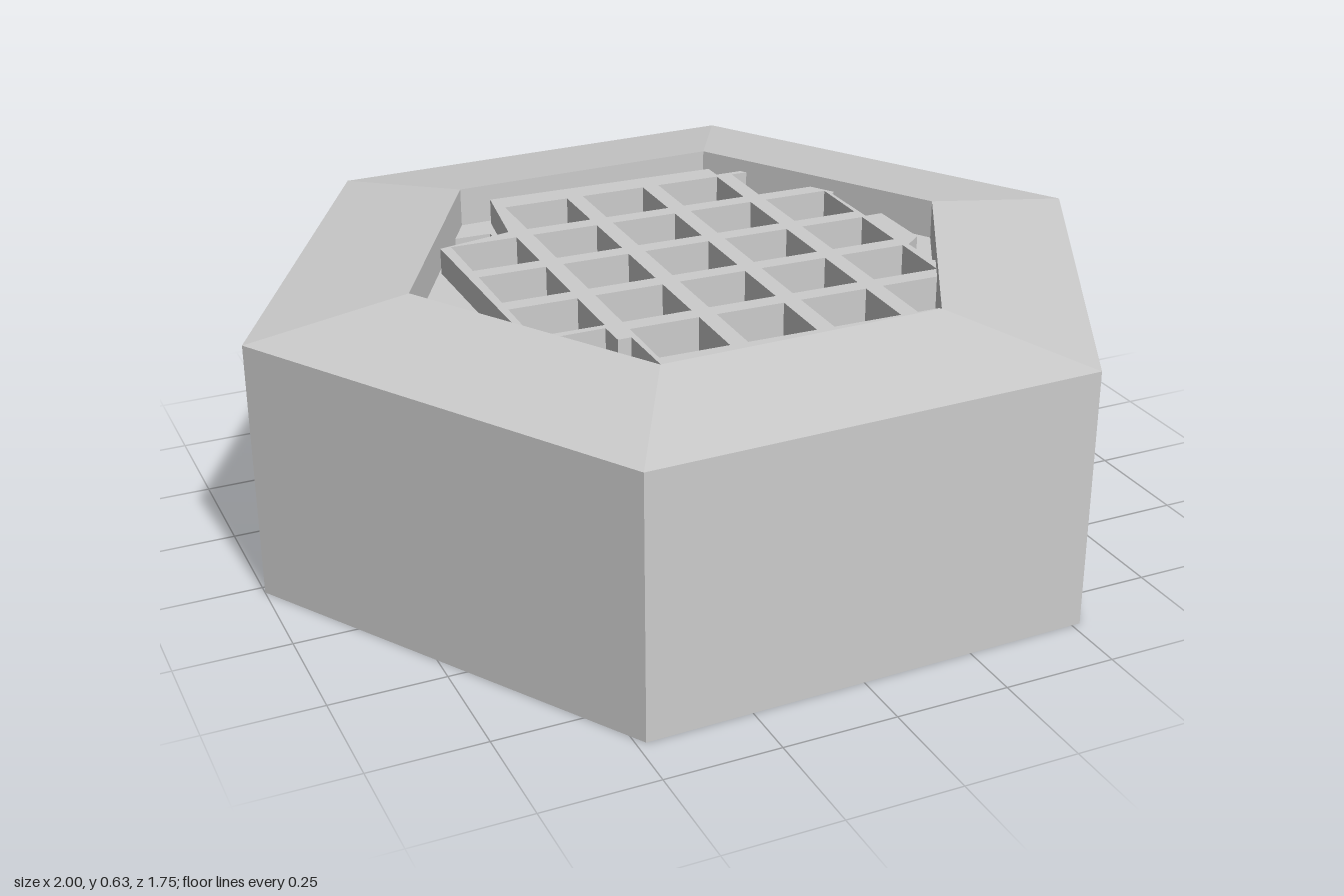
import * as THREE from 'three';

const TURN = THREE.MathUtils.degToRad(-1.3); // slight twist of the hexagon
const FLOOR = 0.47, LOW = 0.54, HIGH = 0.6;
const material = new THREE.MeshStandardMaterial({ color: 0xcccccc, flatShading: true });

// Corners of the twisted hexagon as [x, z]
function hexagon(radius) {
  return Array.from({ length: 6 }, (_, i) => {
    const a = TURN + (i * Math.PI) / 3;
    return [radius * Math.cos(a), radius * Math.sin(a)];
  });
}

// Cut a polygon down to the part inside the hexagon
function clipToHexagon(polygon, radius) {
  const apothem = radius * Math.cos(Math.PI / 6);
  let points = polygon;
  for (let i = 0; i < 6; i++) {
    const a = TURN + ((i + 0.5) * Math.PI) / 3;
    const gap = ([x, z]) => apothem - x * Math.cos(a) - z * Math.sin(a);
    const kept = [];
    points.forEach((p, k) => {
      const q = points[(k + 1) % points.length];
      const gp = gap(p), gq = gap(q);
      if (gp >= 0) kept.push(p);
      if (gp * gq < 0) {
        const t = gp / (gp - gq);
        kept.push([p[0] + t * (q[0] - p[0]), p[1] + t * (q[1] - p[1])]);
      }
    });
    points = kept;
  }
  return points;
}

// One square opening of the waffle grid
function gridWindow(col, row) {
  const x = -0.455 + 0.195 * col, z = -0.46 + 0.195 * row, s = 0.155, skew = 0.02;
  return [[x, z], [x + s, z], [x + s, z + s], [x, z + s]]
    .map(([u, v]) => [u - skew * v, v + skew * u]);
}

// Horizontal slab with openings, between two heights
function slab(name, outline, openings, bottom, top) {
  const toVectors = (pts) => pts.map(([x, z]) => new THREE.Vector2(x, -z));
  // the outline runs against the openings, so all walls face outward
  const shape = new THREE.Shape(toVectors(outline).reverse());
  shape.holes = openings.map((pts) => new THREE.Path(toVectors(pts)));
  const geometry = new THREE.ExtrudeGeometry(shape, { depth: top - bottom, bevelEnabled: false });
  geometry.rotateX(-Math.PI / 2).translate(0, bottom, 0);
  const mesh = new THREE.Mesh(geometry, material);
  mesh.name = name;
  return mesh;
}

export function createModel() {
  const model = new THREE.Group();
  model.name = 'hexagonalTile';

  // Six-sided body with sloping rim and sunken floor
  const profile = [[0, 0], [1, 0], [1, 0.58], [0.64, 0.63], [0.64, FLOOR], [0, FLOOR]]
    .map(([r, y]) => new THREE.Vector2(r, y));
  const body = new THREE.Mesh(new THREE.LatheGeometry(profile, 6, Math.PI / 6 - TURN), material);
  body.name = 'body';
  model.add(body);

  // Openings run out to the rim; the cut-off left corners lie only in the lower layer
  const all = [], upper = [];
  for (let col = 0; col < 5; col++) {
    for (let row = 0; row < 5; row++) {
      const opening = clipToHexagon(gridWindow(col, row), 0.642);
      all.push(opening);
      if (col > 0 || (row > 0 && row < 4)) upper.push(opening);
    }
  }
  model.add(slab('lowerLattice', hexagon(0.655), all, FLOOR - 0.01, LOW));

  // Raised waffle plate with its stepped edge
  const plateEdge = [
    [-0.475, -0.275], [-0.3, -0.31], [-0.265, -0.53], [0.3, -0.515], [0.3, -0.468], [0.385, -0.468],
    [0.512, -0.25], [0.493, -0.23], [0.493, -0.065], [0.535, -0.065], [0.535, 0.1], [0.493, 0.135],
    [0.493, 0.24], [0.507, 0.25], [0.365, 0.5], [0.32, 0.5], [0.285, 0.53], [-0.28, 0.525],
    [-0.28, 0.355], [-0.31, 0.355], [-0.31, 0.29], [-0.475, 0.29],
  ];
  model.add(slab('wafflePlate', plateEdge, upper, LOW, HIGH));
  return model;
}
